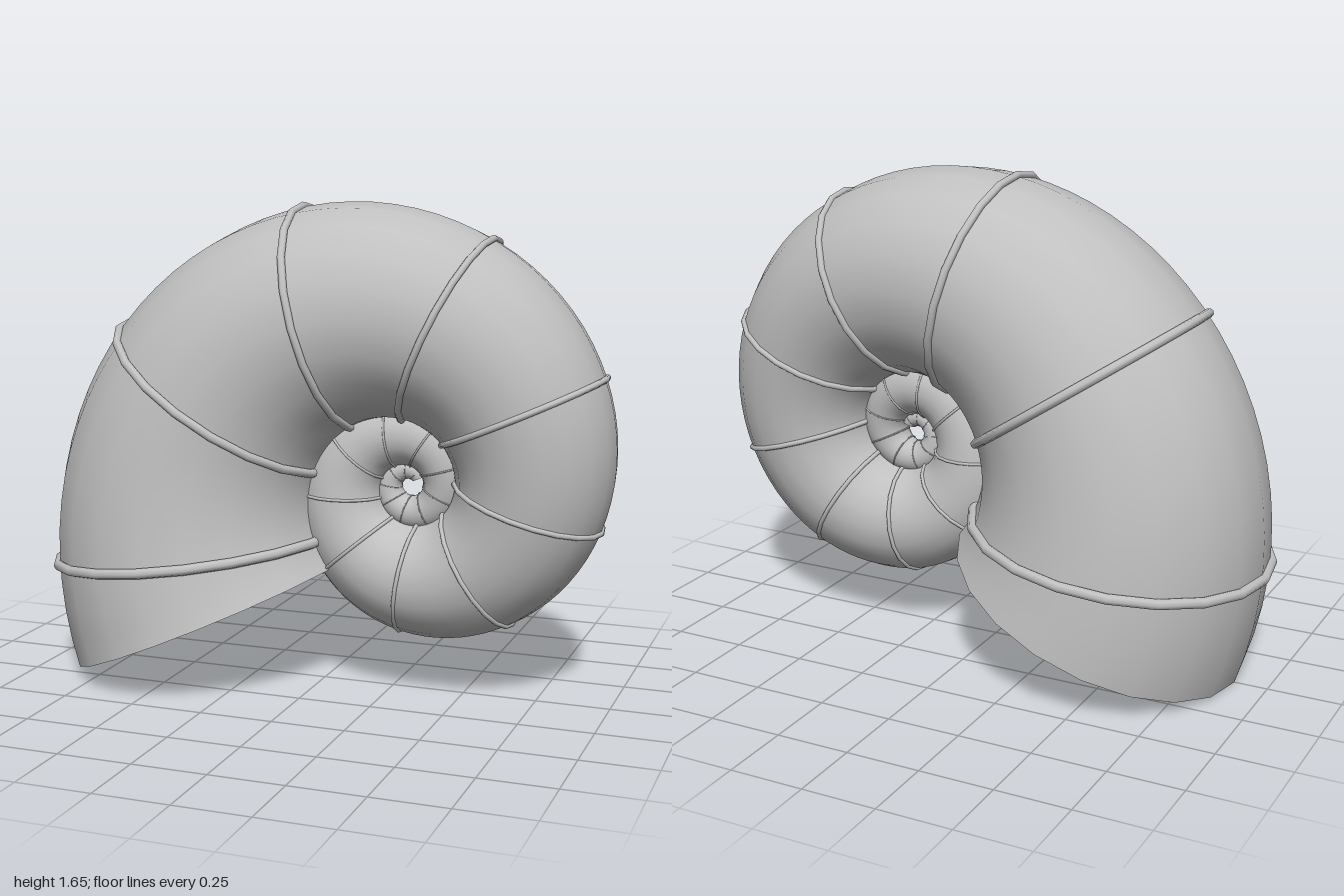
import * as THREE from 'three';

// Logarithmic spiral that the shell follows, coiling around CENTER
const CENTER = [0.304, 0.709];
const GROWTH = 0.1922;
const TILT = Math.atan(GROWTH);
const TURN = Math.PI * 5;
const END = THREE.MathUtils.degToRad(214.8);
const END_DISTANCE = 0.861;
const WIDTH = 0.614;
const SIDES = 20;

// Centre, radius and outward direction of the tube; t = 0 at the core, 1 at the mouth
function section(t) {
  const angle = END - (1 - t) * TURN;
  const d = END_DISTANCE * Math.exp(GROWTH * (angle - END));
  return {
    x: CENTER[0] + d * Math.cos(angle),
    y: CENTER[1] + d * Math.sin(angle),
    r: d * WIDTH,
    tilt: angle - TILT,
  };
}

// Tube swept through circular sections square to the spiral
function shellGeometry(steps) {
  const positions = [];
  const index = [];
  for (let i = 0; i <= steps; i++) {
    const s = section(i / steps);
    for (let j = 0; j < SIDES; j++) {
      const a = (j / SIDES) * Math.PI * 2;
      const out = s.r * Math.cos(a);
      positions.push(s.x + out * Math.cos(s.tilt), s.y + out * Math.sin(s.tilt), s.r * Math.sin(a));
      if (i === steps) continue;
      const k = (j + 1) % SIDES;
      const p = i * SIDES + j, q = i * SIDES + k;
      index.push(p, p + SIDES, q, q, p + SIDES, q + SIDES);
    }
  }
  const geometry = new THREE.BufferGeometry();
  geometry.setAttribute('position', new THREE.Float32BufferAttribute(positions, 3));
  geometry.setIndex(index);
  geometry.computeVertexNormals();
  return geometry;
}

export function createModel() {
  const model = new THREE.Group();
  model.name = 'spiralShell';
  const shellGrey = new THREE.MeshStandardMaterial({ color: 0xc0c0c0 });
  shellGrey.name = 'shellGrey';

  const add = (name, geometry, s) => {
    const mesh = new THREE.Mesh(geometry, shellGrey);
    mesh.name = name;
    if (s) {
      mesh.position.set(s.x, s.y, 0);
      mesh.rotation.z = s.tilt;
    }
    model.add(mesh);
  };

  add('shellBody', shellGeometry(200));

  // Flat discs closing the mouth and the core
  const mouth = section(1), core = section(0);
  add('mouthCap', new THREE.CircleGeometry(mouth.r, SIDES).rotateX(-Math.PI / 2), mouth);
  add('coreCap', new THREE.CircleGeometry(core.r, SIDES).rotateX(Math.PI / 2), core);

  // Raised growth ribs at even angles along the coil
  const ribs = 22;
  for (let i = 0; i < ribs; i++) {
    const s = section((i + 0.6) / ribs);
    add('growthRib' + (i + 1), new THREE.TorusGeometry(s.r * 1.01, s.r * 0.036, 8, SIDES).rotateX(Math.PI / 2), s);
  }
  return model;
}
